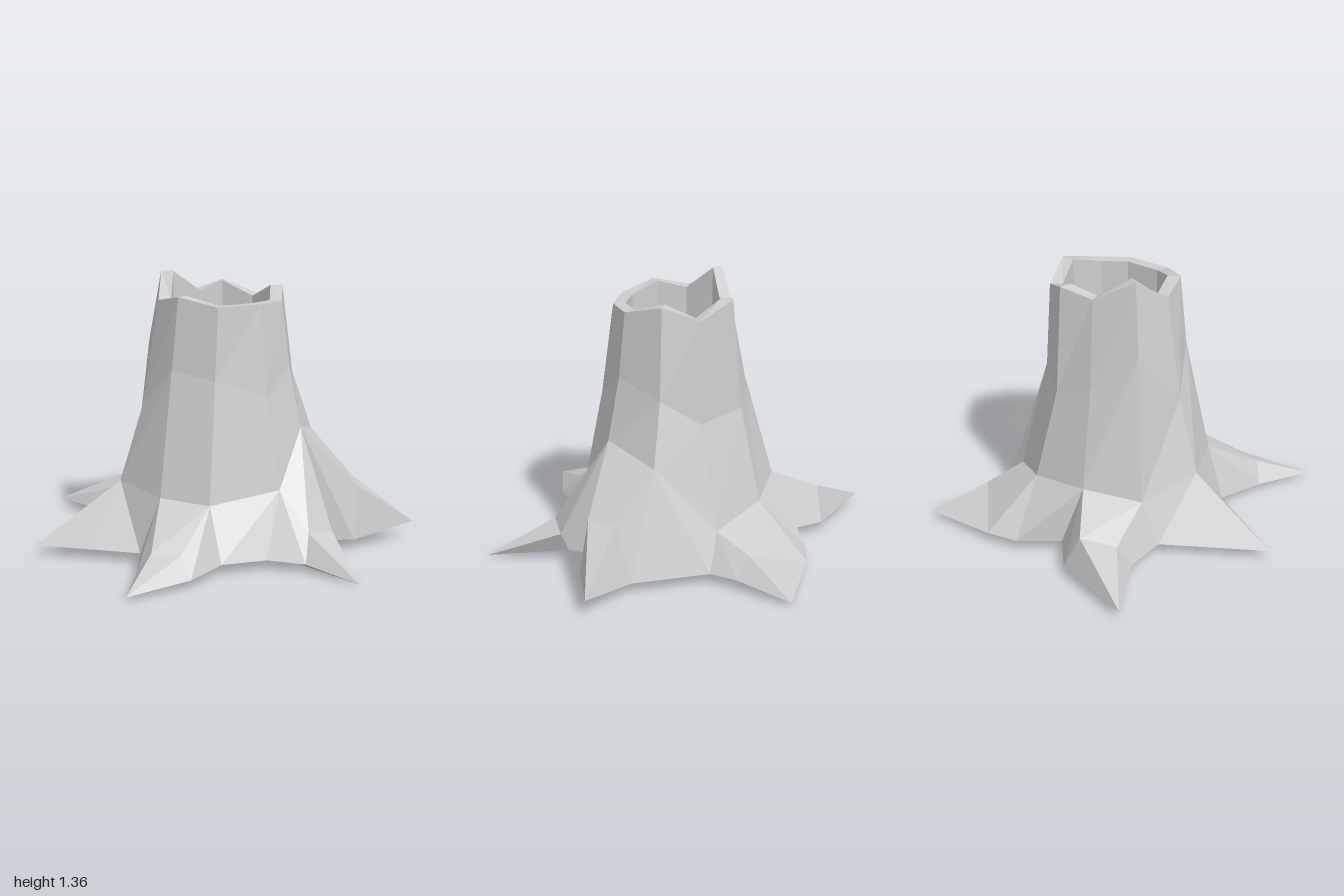
import * as THREE from 'three';

// Trunk rings, [x, y, z], running from the back around by the left side (+x)
const rim = [
  [-0.05, 1.285, -0.34], [0.15, 1.215, -0.36], [0.31, 1.285, -0.27], [0.39, 1.235, -0.08], [0.35, 1.235, 0.08],
  [0.2, 1.23, 0.235], [0, 1.27, 0.255], [-0.155, 1.235, 0.16], [-0.23, 1.355, -0.01], [-0.14, 1.245, -0.2],
];
const waist = [
  [-0.08, 0.75, -0.37], [0.17, 0.72, -0.385], [0.35, 0.85, -0.31], [0.43, 0.92, -0.085], [0.4, 0.8, 0.11],
  [0.2, 0.88, 0.265], [-0.02, 0.92, 0.285], [-0.22, 0.72, 0.21], [-0.3, 1.0, -0.01], [-0.22, 0.8, -0.23],
];
const flare = [
  [-0.11, 0.3, -0.485], [0.17, 0.22, -0.52], [0.43, 0.55, -0.375], [0.495, 0.62, -0.085], [0.485, 0.355, 0.14],
  [0.225, 0.3, 0.37], [-0.02, 0.32, 0.41], [-0.31, 0.345, 0.28], [-0.395, 0.26, -0.01], [-0.34, 0.335, -0.29],
];

// Roots in the same order: the flare corners each grows from, the bends of its
// ridges, and its ground line from valley over the tip to the next valley
const roots = [
  {
    name: 'backRoot', from: [0, 1], ridge: [[0.12, 0.15, -0.71], [0.12, 0.15, -0.71]],
    foot: [[-0.3, 0.05, -0.62], [-0.2, 0.05, -0.75], [0.1, 0.02, -1], [0.2, 0.05, -0.72], [0.26, 0.05, -0.59]],
  },
  {
    name: 'backLeftRoot', from: [2, 3], ridge: [[0.65, 0.33, -0.38], [0.72, 0.32, -0.25]],
    foot: [[0.26, 0.05, -0.59], [0.62, 0.05, -0.46], [0.925, 0.08, -0.54], [0.74, 0.05, -0.2], [0.58, 0.05, -0.1]],
  },
  {
    name: 'frontLeftRoot', from: [3, 4], ridge: [[0.71, 0.15, 0.02], [0.65, 0.17, 0.17]],
    foot: [[0.58, 0.05, -0.1], [0.66, 0.05, 0.03], [0.96, 0, 0.3], [0.67, 0.04, 0.25], [0.49, 0.05, 0.3]],
  },
  {
    name: 'frontRoot', from: [5, 6], ridge: [[0.21, 0.13, 0.65], [0.085, 0.14, 0.7]],
    foot: [[0.33, 0.05, 0.46], [0.29, 0.04, 0.7], [0.11, 0.02, 0.99], [0.01, 0.04, 0.7], [-0.1, 0.05, 0.47]],
  },
  {
    name: 'frontRightRoot', from: [7, 7], ridge: [[-0.465, 0.197, 0.43], [-0.465, 0.197, 0.43]],
    foot: [[-0.1, 0.05, 0.47], [-0.36, 0.05, 0.525], [-0.62, 0.05, 0.58], [-0.54, 0.05, 0.32], [-0.46, 0.05, 0.06]],
  },
  {
    name: 'backRightRoot', from: [8, 9], ridge: [[-0.61, 0.16, -0.175], [-0.59, 0.22, -0.35]],
    foot: [[-0.46, 0.05, 0.06], [-0.61, 0.05, -0.1], [-0.965, 0.045, -0.23], [-0.56, 0.05, -0.425], [-0.34, 0.05, -0.4]],
  },
];

// Flat-faced mesh from polygons, each cut into a fan; repeated corners are dropped
function facetMesh(name, polygons, material) {
  const pos = [];
  for (const polygon of polygons) {
    const p = polygon.filter((v, i) => String(v) !== String(polygon[(i + 1) % polygon.length]));
    for (let i = 1; i < p.length - 1; i++) pos.push(...p[0], ...p[i], ...p[i + 1]);
  }
  const geo = new THREE.BufferGeometry();
  geo.setAttribute('position', new THREE.Float32BufferAttribute(pos, 3));
  geo.computeVertexNormals();
  const mesh = new THREE.Mesh(geo, material);
  mesh.name = name;
  return mesh;
}

// Band of quads between two rings
const band = (upper, lower) => upper.map((p, i) => {
  const j = (i + 1) % upper.length;
  return [p, upper[j], lower[j], lower[i]];
});

// Ring drawn in towards the trunk's axis, optionally at one level
const shrink = (ring, s, level) =>
  ring.map(([x, y, z]) => [0.08 + (x - 0.08) * s, level ?? y, -0.05 + (z + 0.05) * s]);

// Top and both flanks of one root
function rootPanels({ from, ridge: [ka, kb], foot: [valleyA, midA, tip, midB, valleyB] }) {
  const [fa, fb] = from.map(i => flare[i]);
  return [
    [fa, fb, kb, ka], [ka, kb, tip],
    [fa, ka, midA, valleyA], [ka, tip, midA],
    [fb, valleyB, midB, kb], [kb, midB, tip],
  ];
}

export function createModel() {
  const wood = new THREE.MeshStandardMaterial({ color: 0xcccccc });
  wood.name = 'pale grey wood';
  const group = new THREE.Group();
  group.name = 'treeStump';

  // Trunk with a broken rim and a hollow top
  const lip = shrink(rim, 0.8);
  const floor = shrink(rim, 0.77, 0.85);
  group.add(facetMesh('trunk', [...band(rim, waist), ...band(waist, flare)], wood));
  group.add(facetMesh('brokenRim', band(lip, rim), wood));
  group.add(facetMesh('hollow', [...band(floor, lip), [...floor].reverse()], wood));

  // Roots, and the bark between neighbouring roots
  const webs = roots.map((root, i) => {
    const next = roots[(i + 1) % roots.length];
    return [flare[root.from[1]], flare[next.from[0]], next.foot[0], root.foot[4]];
  });
  for (const root of roots) group.add(facetMesh(root.name, rootPanels(root), wood));
  group.add(facetMesh('barkBetweenRoots', webs, wood));

  // Underside fanned from the middle
  const outline = roots.flatMap(root => root.foot);
  const under = outline.map((p, i) => [[0, 0.05, 0], p, outline[(i + 1) % outline.length]]);
  group.add(facetMesh('underside', under, wood));
  return group;
}
